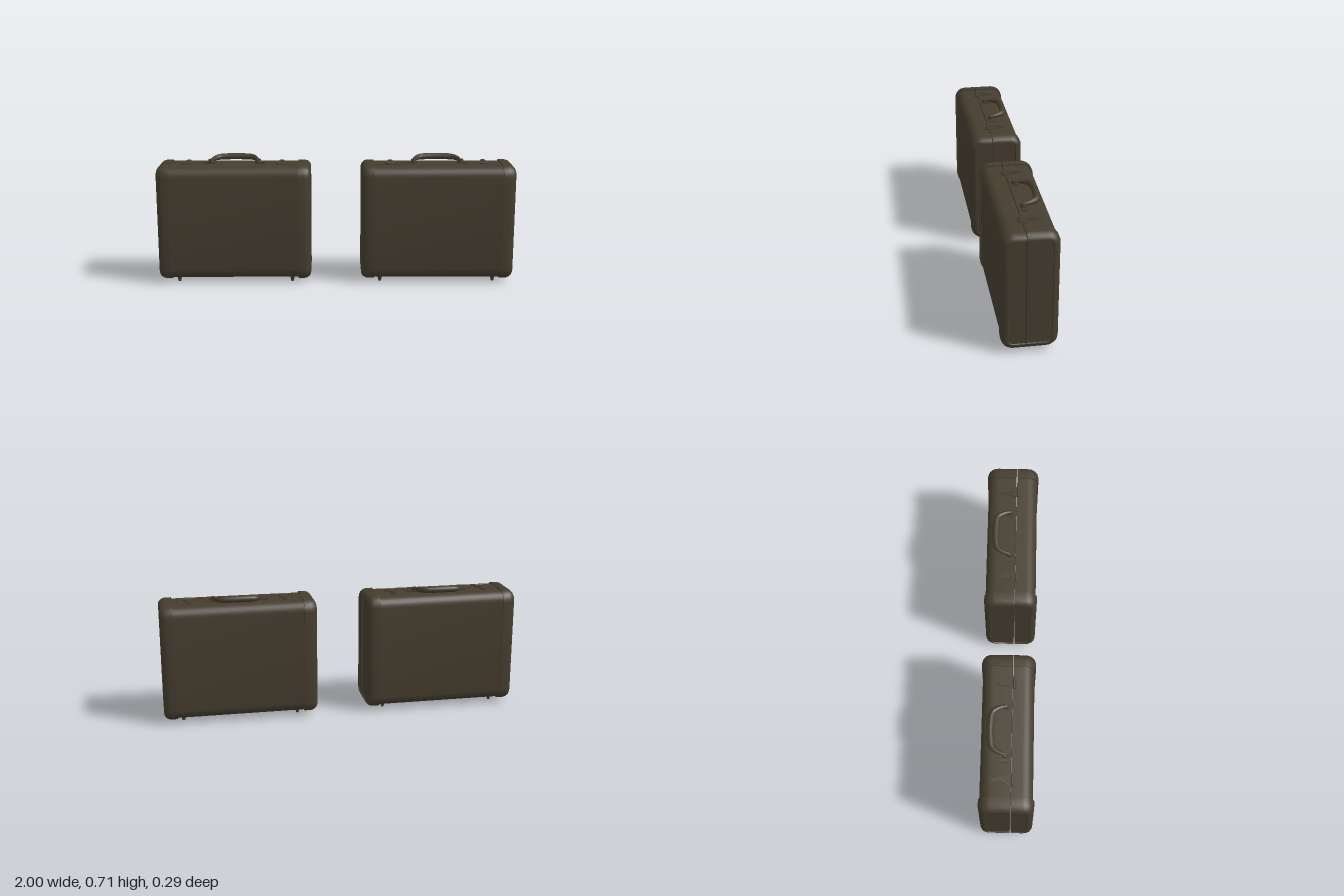
import * as THREE from 'three';
import { toCreasedNormals } from 'three/addons/utils/BufferGeometryUtils.js';

const olive = new THREE.MeshStandardMaterial({ color: 0x453d2f });
olive.name = 'dark olive leather';

const TOP = 0.673, BOTTOM = 0.02, DEPTH = 0.146, HALF = 0.4287, SEAM = 0.022, GAP = 0.002;

function add(parent, name, geometry, x = 0, y = 0, z = 0) {
  const mesh = new THREE.Mesh(geometry, olive);
  mesh.name = name;
  mesh.position.set(x, y, z);
  parent.add(mesh);
  return mesh;
}

// One half of the rounded case profile as [z, y], shrunk by inset; side is 1 front, -1 back
function section(side, inset) {
  const r = 0.063, n = 6, points = [];
  const seam = SEAM + side * GAP;
  const arc = (cy, from) => {
    for (let i = 0; i <= n; i++) {
      const a = from - (i / n) * Math.PI / 2;
      points.push([side * (DEPTH - r + Math.cos(a) * (r - inset)), cy + Math.sin(a) * (r - inset)]);
    }
  };
  points.push([seam, TOP - inset]);
  arc(TOP - r, Math.PI / 2);
  arc(BOTTOM + r, 0);
  points.push([seam, BOTTOM + inset]);
  return side > 0 ? points : points.reverse();
}

// Joins profiles along x; stations are [x, inset] with x rising
function loft(side, stations) {
  const positions = [], index = [];
  const n = section(side, 0).length;
  for (const [x, inset] of stations) {
    for (const [z, y] of section(side, inset)) positions.push(x, y, z);
  }
  const last = (stations.length - 1) * n;
  for (let s = 0; s < last; s += n) {
    for (let i = 0; i < n; i++) {
      const j = (i + 1) % n;
      index.push(s + i, s + j, s + n + i, s + j, s + n + j, s + n + i);
    }
  }
  for (let i = 1; i < n - 1; i++) {
    index.push(0, i + 1, i, last, last + i, last + i + 1);
  }
  const geometry = new THREE.BufferGeometry();
  geometry.setAttribute('position', new THREE.Float32BufferAttribute(positions, 3));
  geometry.setIndex(index);
  return toCreasedNormals(geometry, Math.PI / 5);
}

// Thick end cap with a rolled rim around a sunken panel
const capStations = [
  [HALF - 0.072, 0.009], [HALF - 0.072, 0], [HALF - 0.036, 0], [HALF - 0.019, 0.005],
  [HALF - 0.006, 0.016], [HALF, 0.028], [HALF, 0.034], [HALF - 0.006, 0.037],
];
const mirroredStations = capStations.map(([x, d]) => [-x, d]).reverse();

// Swept handle, thin at the ends and thick at the grip
function handleGeometry() {
  const path = new THREE.CatmullRomCurve3([
    [-0.13, 0.684, -0.008], [-0.122, 0.686, -0.04], [-0.095, 0.689, -0.08], [-0.05, 0.691, -0.09],
    [0.05, 0.691, -0.09], [0.095, 0.689, -0.08], [0.122, 0.686, -0.04], [0.13, 0.684, -0.008],
  ].map((p) => new THREE.Vector3(...p)));
  const rows = 40, sides = 12;
  const geometry = new THREE.TubeGeometry(path, rows, 1, sides);
  const pos = geometry.attributes.position, v = new THREE.Vector3();
  for (let i = 0; i < pos.count; i++) {
    const t = Math.floor(i / (sides + 1)) / rows;
    const centre = path.getPointAt(t);
    const radius = 0.008 + 0.01 * Math.min(1, Math.sin(Math.PI * t) * 1.3);
    v.fromBufferAttribute(pos, i).sub(centre).multiplyScalar(radius).add(centre);
    pos.setXYZ(i, v.x, v.y, v.z);
  }
  geometry.computeVertexNormals();
  return geometry;
}

// Latch outline seen from above: [x, z] for the left half, mirrored
function latchGeometry() {
  const half = [[0.008, -0.072], [0.015, -0.045], [0.017, -0.01], [0.031, 0.01], [0.031, 0.04], [0.014, 0.046]];
  const outline = [...half, ...half.map(([x, z]) => [-x, z]).reverse()];
  const shape = new THREE.Shape(outline.map(([x, z]) => new THREE.Vector2(x, -z)));
  return new THREE.ExtrudeGeometry(shape, { depth: 0.006, bevelEnabled: false }).rotateX(-Math.PI / 2);
}

function createCase(name) {
  const group = new THREE.Group();
  group.name = name;

  // Shells and end caps on each side of the open seam
  for (const side of [1, -1]) {
    const label = side > 0 ? 'front' : 'back';
    add(group, label + 'Shell', loft(side, [[-HALF + 0.07, 0.007], [HALF - 0.07, 0.007]]));
    add(group, label + 'LeftCap', loft(side, capStations));
    add(group, label + 'RightCap', loft(side, mirroredStations));
  }

  // Handle
  add(group, 'handle', handleGeometry());

  for (const s of [1, -1]) {
    // Handle mounts
    add(group, 'handlePlate', new THREE.BoxGeometry(0.06, 0.008, 0.034), s * 0.142, 0.669, -0.012);
    add(group, 'handleMount', new THREE.CylinderGeometry(0.015, 0.018, 0.02, 16), s * 0.132, 0.68, -0.01);

    // Latches
    add(group, 'latch', latchGeometry(), s * 0.264, 0.67, 0);
    add(group, 'latchLever', new THREE.BoxGeometry(0.016, 0.005, 0.06), s * 0.264, 0.678, -0.018);
    const knob = new THREE.CylinderGeometry(0.006, 0.006, 0.05, 10).rotateZ(Math.PI / 2);
    add(group, 'latchHinge', knob, s * 0.264, 0.676, 0.03);

    // Hinges under the seam
    add(group, 'hingePlate', new THREE.BoxGeometry(0.08, 0.006, 0.045), s * 0.23, 0.024, SEAM);
    const barrel = new THREE.CylinderGeometry(0.005, 0.005, 0.08, 10).rotateZ(Math.PI / 2);
    add(group, 'hingeBarrel', barrel, s * 0.23, 0.021, SEAM);

    // Feet
    for (const z of [0.08, -0.058]) {
      add(group, 'foot', new THREE.CylinderGeometry(0.014, 0.007, 0.03, 12), s * 0.322, 0.015, z);
    }
  }
  return group;
}

export function createModel() {
  const model = new THREE.Group();
  model.name = 'suitcasePair';
  for (const side of [1, -1]) {
    const suitcase = createCase(side > 0 ? 'leftSuitcase' : 'rightSuitcase');
    suitcase.position.x = side * (1 - HALF);
    model.add(suitcase);
  }
  return model;
}
